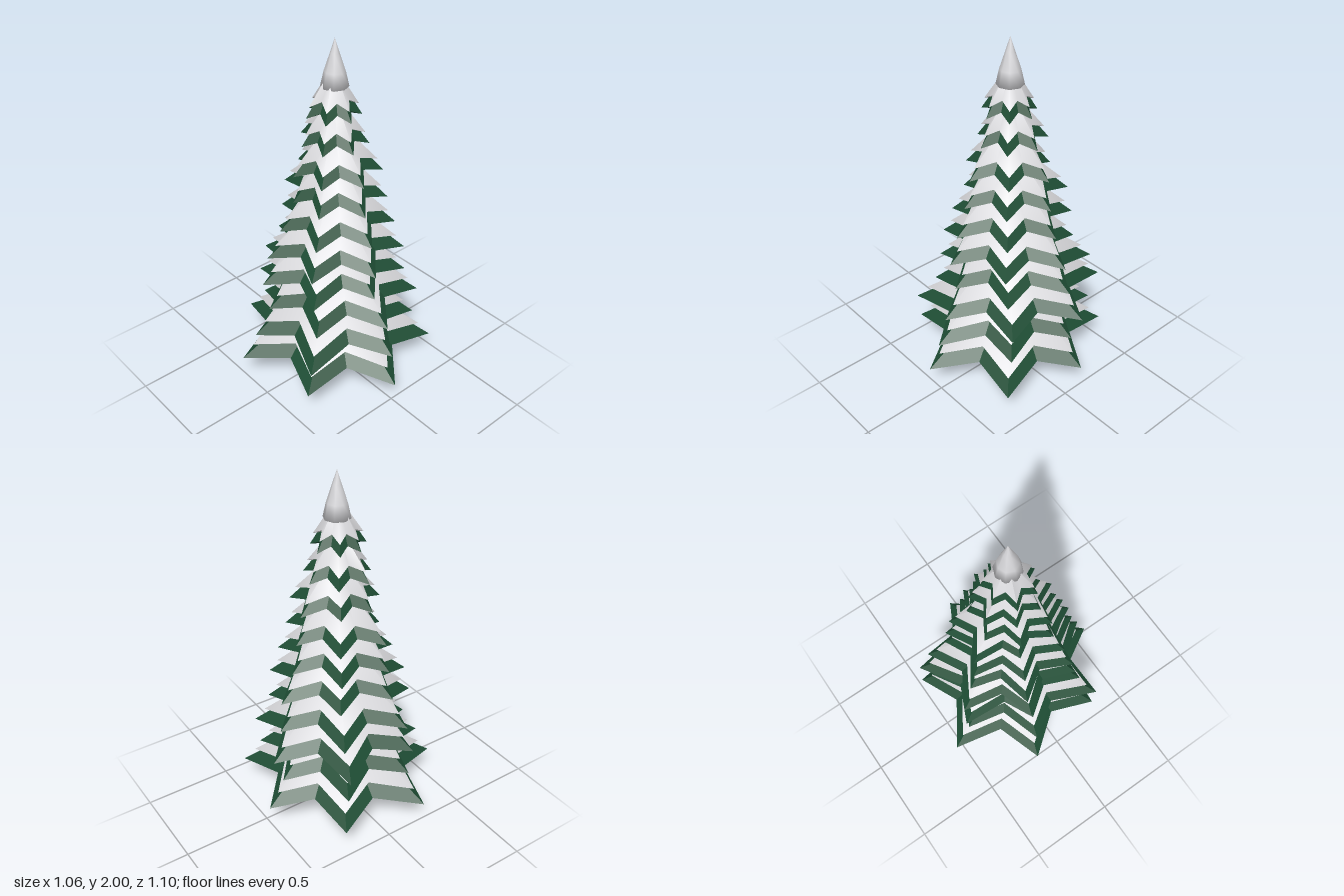
import * as THREE from 'three';
import { toCreasedNormals } from 'three/addons/utils/BufferGeometryUtils.js';

const CX = 0.012, CZ = -0.012; // trunk axis
const POINTS = 7;
const STEP = (Math.PI * 2) / POINTS;

// Pointed star cone: drooping tips, raised notches, nearly flat underside
function starCone(radii, angle, y, height, scale, notchLift) {
  const ring = [];
  for (let i = 0; i < POINTS; i++) {
    const a = angle + i * STEP;
    const r = radii[i] * scale;
    const n = (r + radii[(i + 1) % POINTS] * scale) * 0.5 * 0.67;
    ring.push([Math.cos(a) * r, y, Math.sin(a) * r]);
    ring.push([Math.cos(a + STEP / 2) * n, y + notchLift, Math.sin(a + STEP / 2) * n]);
  }
  const apex = [0, y + height, 0], base = [0, y + notchLift * 0.5, 0];
  const pos = [];
  ring.forEach((p, i) => {
    const q = ring[(i + 1) % ring.length];
    pos.push(...apex, ...q, ...p, ...base, ...p, ...q);
  });
  const g = new THREE.BufferGeometry();
  g.setAttribute('position', new THREE.Float32BufferAttribute(pos, 3));
  g.computeVertexNormals();
  return g;
}

export function createModel() {
  const tree = new THREE.Group();
  tree.name = 'snowyTree';
  const material = (name, color) => {
    const m = new THREE.MeshStandardMaterial({ color });
    m.name = name;
    return m;
  };
  const green = material('needleGreen', 0x1e4d34);
  const snow = material('snowWhite', 0xd8d8db);
  const bark = material('barkBrown', 0x2f241d);

  const add = (name, geometry, mat, parent = tree) => {
    const mesh = new THREE.Mesh(geometry, mat);
    mesh.name = name;
    parent.add(mesh);
    return mesh;
  };

  // Trunk with a slightly wider foot
  add('trunk', new THREE.CylinderGeometry(0.034, 0.037, 0.32, 8), bark).position.set(CX + 0.004, 0.16, CZ);
  add('trunkFoot', new THREE.CylinderGeometry(0.037, 0.041, 0.04, 8), bark).position.set(CX + 0.004, 0.02, CZ);

  // Reach of the seven tips of each tier, from the front left corner round the front
  const tiers = [
    [0.566, 0.565, 0.553, 0.567, 0.578, 0.55, 0.52],
    [0.46, 0.51, 0.56, 0.49, 0.46, 0.48, 0.43],
    [0.48, 0.46, 0.44, 0.4, 0.48, 0.535, 0.495],
    [0.4, 0.37, 0.41, 0.425, 0.45, 0.47, 0.42],
    [0.39, 0.39, 0.39, 0.385, 0.36, 0.36, 0.395],
    [0.335, 0.345, 0.33, 0.31, 0.33, 0.345, 0.32],
    [0.288, 0.29, 0.26, 0.23, 0.31, 0.315, 0.285],
    [0.26, 0.26, 0.24, 0.228, 0.215, 0.215, 0.26],
    [0.185, 0.18, 0.178, 0.175, 0.2, 0.2, 0.188],
    [0.145, 0.15, 0.152, 0.152, 0.14, 0.14, 0.142],
  ];
  const twists = [1.6, -0.5, -1, 2, 4, 3, 4, 2, 5, 2]; // degrees
  tiers.forEach((radii, i) => {
    const t = i / (tiers.length - 1);
    const angle = THREE.MathUtils.degToRad(41 + twists[i]);
    const y = 0.157 + i * 0.16;
    const height = THREE.MathUtils.lerp(0.4, 0.24, t);
    const lift = THREE.MathUtils.lerp(0.08, 0.06, t);
    const notch = THREE.MathUtils.lerp(0.05, 0.035, t);

    const tier = new THREE.Group();
    tier.name = `tier${i + 1}`;
    tier.position.set(CX, 0, CZ);
    add('branches', starCone(radii, angle, y, height, 1, notch), green, tier);
    const snowCone = starCone(radii, angle, y + lift, height - lift + 0.025, 0.88, notch);
    add('snowLayer', toCreasedNormals(snowCone, 1.2), snow, tier);
    tree.add(tier);
  });

  // Smooth bell-curved cap on the top
  const profile = [[0, 1.75], [0.073, 1.75], [0.055, 1.83], [0.024, 1.925], [0, 2]];
  const points = profile.map(([r, y]) => new THREE.Vector2(r, y));
  add('topCap', new THREE.LatheGeometry(points, 8), snow).position.set(CX + 0.004, 0, CZ + 0.004);

  return tree;
}
